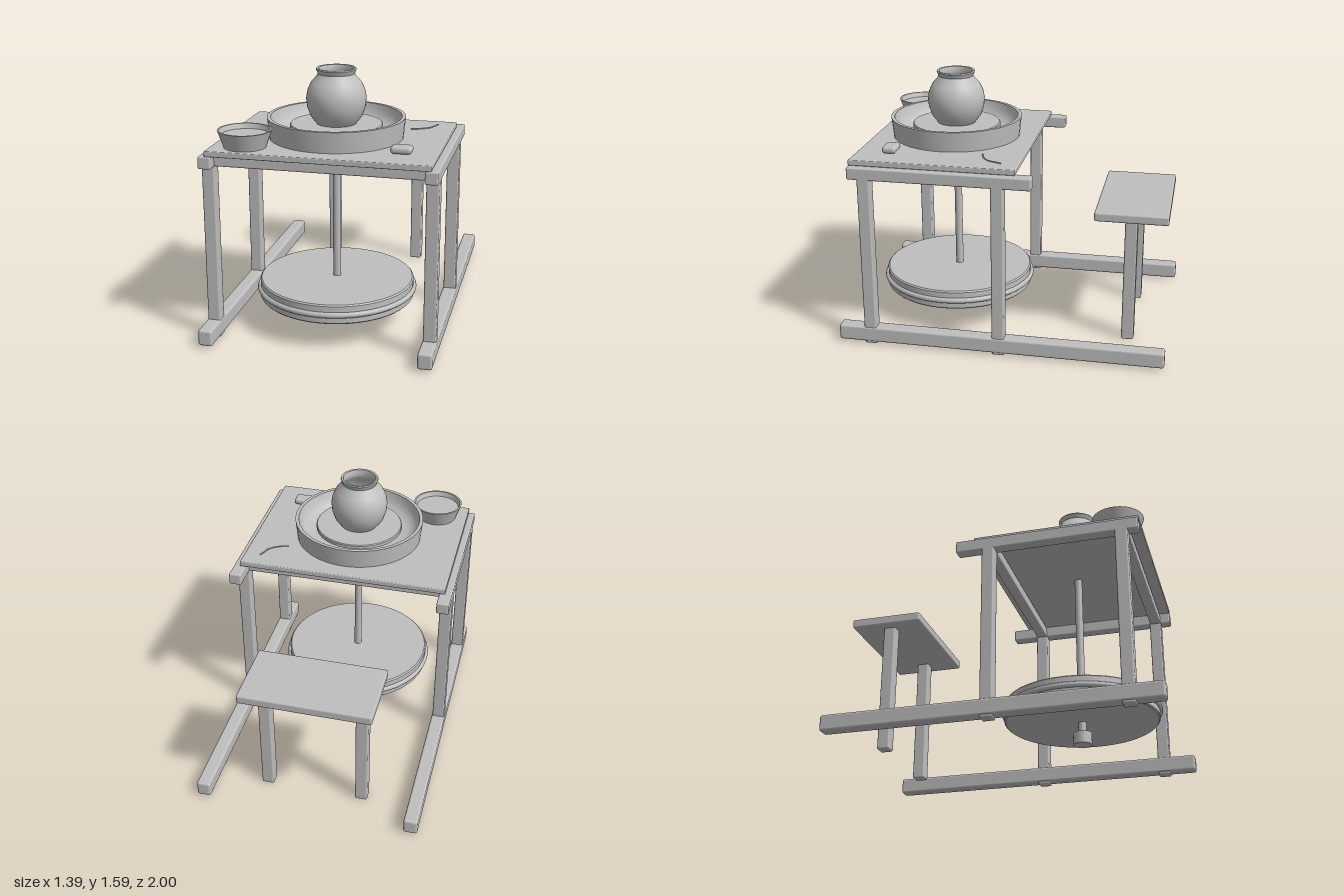
import * as THREE from 'three';
import { RoundedBoxGeometry } from 'three/addons/geometries/RoundedBoxGeometry.js';
import { toCreasedNormals } from 'three/addons/utils/BufferGeometryUtils.js';

const grey = new THREE.MeshStandardMaterial({ color: 0xbfbfbf });
grey.name = 'plain grey';

export function createModel() {
  const model = new THREE.Group();
  model.name = 'pottersKickWheel';

  const add = (name, geometry, x = 0, y = 0, z = 0) => {
    const mesh = new THREE.Mesh(geometry, grey);
    mesh.name = name;
    mesh.position.set(x, y, z);
    model.add(mesh);
    return mesh;
  };
  // softened timber given by its extents
  const timber = (name, x0, x1, y0, y1, z0, z1, r = 0.01) =>
    add(name, new RoundedBoxGeometry(x1 - x0, y1 - y0, z1 - z0, 2, r),
      (x0 + x1) / 2, (y0 + y1) / 2, (z0 + z1) / 2);
  // turned part from [radius, height] pairs, listed bottom outside to top and inside
  const turned = (name, profile, x, z, crease = 0.6, segments = 48) =>
    add(name, toCreasedNormals(new THREE.LatheGeometry(
      profile.map(([r, y]) => new THREE.Vector2(r, y)), segments), crease), x, 0, z);

  // side frames: skid, two legs and a top rail on each side
  for (const [side, s] of [['left', 1], ['right', -1]]) {
    const c = s * 0.65;
    timber(side + 'Skid', c - 0.043, c + 0.043, 0.013, 0.112, -1, 1, 0.015);
    timber(side + 'TopRail', c - 0.038, c + 0.038, 1.065, 1.14, -0.2, 0.9);
    for (const z of [0, 0.8])
      timber(side + (z ? 'FrontLeg' : 'BackLeg'), c - 0.038, c + 0.038, 0, 1.1, z - 0.038, z + 0.038);
    // bench leg
    timber(side + 'BenchLeg', s * 0.3 - 0.038, s * 0.3 + 0.038, 0, 0.81, -0.788, -0.712);
  }

  // cross rails, table top and bench seat
  for (const z of [0, 0.8])
    timber(z ? 'frontCrossRail' : 'backCrossRail', -0.63, 0.63, 1.068, 1.138, z - 0.035, z + 0.035);
  timber('tableTop', -0.648, 0.648, 1.14, 1.174, -0.1, 0.9, 0.006);
  timber('benchSeat', -0.4, 0.4, 0.798, 0.855, -0.975, -0.53, 0.012);

  // drive: shaft, foot bearing and kick flywheel with its rim band
  add('shaft', new THREE.CylinderGeometry(0.024, 0.024, 1.15, 24), 0, 0.655, 0.4);
  add('footBearing', new THREE.CylinderGeometry(0.057, 0.057, 0.074, 24), 0, 0.065, 0.4);
  turned('flywheel', [[0, 0.17], [0.464, 0.17], [0.472, 0.178], [0.472, 0.282], [0.464, 0.29], [0, 0.29]], 0, 0.4);
  const band = add('flywheelBand', new THREE.TorusGeometry(0.472, 0.018, 10, 64), 0, 0.229, 0.4);
  band.rotation.x = Math.PI / 2;

  // splash basin with the wheel head inside
  turned('splashBasin', [[0, 1.176], [0.398, 1.176], [0.41, 1.3], [0.388, 1.3],
    [0.375, 1.25], [0.35, 1.215], [0.31, 1.197], [0.25, 1.19], [0, 1.19]], 0, 0.4);
  turned('wheelHead', [[0, 1.19], [0.265, 1.225], [0.275, 1.23], [0.275, 1.25], [0.27, 1.256], [0, 1.256]], 0, 0.4);

  // hollow clay pot
  turned('clayPot', [[0, 1.256], [0.118, 1.256], [0.155, 1.305], [0.173, 1.36], [0.178, 1.41],
    [0.17, 1.455], [0.148, 1.503], [0.118, 1.535], [0.108, 1.553], [0.119, 1.579], [0.115, 1.586],
    [0.103, 1.584], [0.094, 1.553], [0.105, 1.525], [0.134, 1.493], [0.16, 1.41], [0.14, 1.31],
    [0.1, 1.275], [0, 1.275]], 0, 0.4, 0.9, 40);

  // water bowl
  turned('waterBowl', [[0, 1.174], [0.122, 1.174], [0.157, 1.275], [0.146, 1.275], [0.116, 1.186], [0, 1.186]],
    -0.452, 0.748);
  turned('water', [[0.137, 1.245], [0, 1.245]], -0.452, 0.748);

  // sponge and cutting wire on the table
  timber('sponge', 0.387, 0.51, 1.178, 1.222, 0.65, 0.737, 0.02);
  const wire = new THREE.CatmullRomCurve3([[0.4, 0.143], [0.455, 0.125], [0.51, 0.085], [0.53, 0.04], [0.547, 0]]
    .map(([x, z]) => new THREE.Vector3(x, 1.177, z)));
  add('cuttingWire', new THREE.TubeGeometry(wire, 20, 0.004, 6));

  return model;
}
